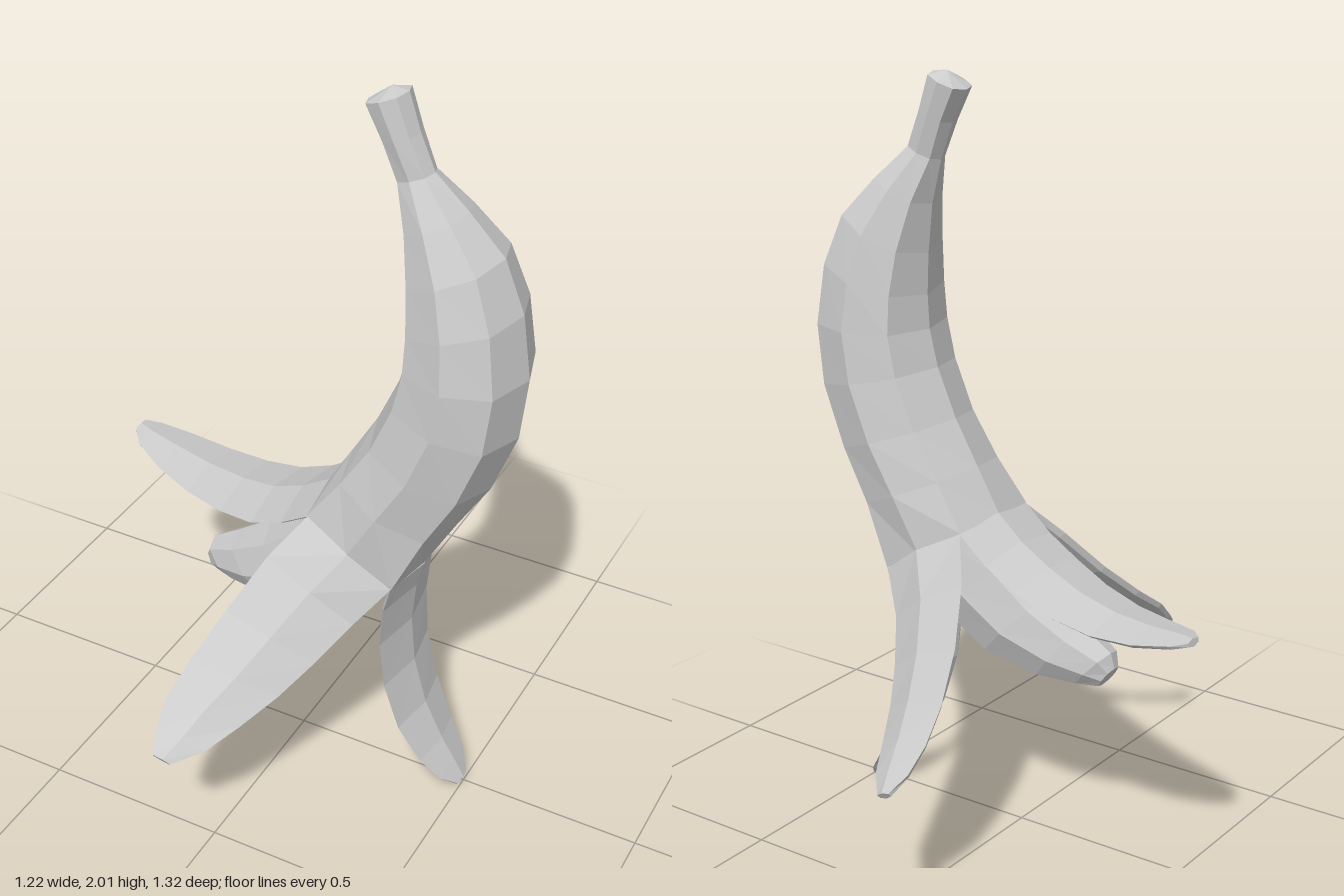
import * as THREE from 'three';

const V = (x, y, z) => new THREE.Vector3(x, y, z);
const material = new THREE.MeshStandardMaterial({ color: 0xcccccc, flatShading: true });

// Skins closed rows of points, caps both ends, and faces the surface outwards.
// startTip / endTip optionally raise the cap centre into a point.
function loft(name, rows, startTip, endTip) {
  const n = rows[0].length, last = rows.length - 1;
  const centre = row => row.reduce((s, p) => s.add(p), V(0, 0, 0)).divideScalar(n);
  const points = [...rows.flat(), startTip || centre(rows[0]), endTip || centre(rows[last])];
  const a0 = rows.length * n, a1 = a0 + 1, index = [];
  for (let j = 0; j < n; j++) {
    const k = (j + 1) % n;
    for (let i = 0; i < last; i++) {
      const a = i * n + j, b = i * n + k;
      index.push(a, b, a + n, b, b + n, a + n);
    }
    index.push(a0, k, j, a1, last * n + j, last * n + k);
  }
  let volume = 0;
  for (let i = 0; i < index.length; i += 3) {
    const [a, b, c] = [0, 1, 2].map(k => points[index[i + k]]);
    volume += a.dot(b.clone().cross(c));
  }
  if (volume < 0) index.reverse();
  const geometry = new THREE.BufferGeometry().setFromPoints(points);
  geometry.setIndex(index);
  const flat = geometry.toNonIndexed();
  flat.computeVertexNormals();
  const mesh = new THREE.Mesh(flat, material);
  mesh.name = name;
  return mesh;
}

// Eight-sided ring between an inner and an outer point of the bend;
// w is the half width in z and k the squareness of the diagonal corners.
function ring([ix, iy, ox, oy, w, k = 0.75]) {
  const cx = (ix + ox) / 2, cy = (iy + oy) / 2, hx = (ox - ix) / 2, hy = (oy - iy) / 2;
  return [[1, 0], [k, k], [0, 1], [-k, k], [-1, 0], [-k, -k], [0, -1], [k, -k]]
    .map(([u, v]) => V(cx + hx * u, cy + hy * u, w * v));
}

// Thin strip of peel between two edges, ridged along its outer middle.
function flap(name, left, right) {
  const L = left.map(p => V(...p)), R = right.map(p => V(...p));
  const mid = L.map((p, i) => p.clone().lerp(R[i], 0.5));
  const end = mid.length - 1;
  const rows = mid.map((m, i) => {
    const across = R[i].clone().sub(L[i]);
    const along = mid[Math.min(i + 1, end)].clone().sub(mid[Math.max(i - 1, 0)]);
    const out = along.cross(across).normalize();
    const bulge = Math.min(0.025, across.length() * 0.1);
    const shift = (p, d) => p.clone().addScaledVector(out, d);
    return [L[i], shift(m, bulge), R[i],
      shift(R[i].clone().lerp(m, 0.12), -0.01), shift(m, bulge - 0.02), shift(L[i].clone().lerp(m, 0.12), -0.01)];
  });
  return loft(name, rows);
}

export function createModel() {
  const group = new THREE.Group();

  // Unpeeled upper skin with its stem
  const skin = [
    [0.165, 1.955, 0.268, 1.995, 0.054],
    [0.21, 1.87, 0.30, 1.90, 0.05],
    [0.247, 1.775, 0.34, 1.81, 0.043],
    [0.277, 1.66, 0.43, 1.73, 0.09],
    [0.292, 1.53, 0.525, 1.635, 0.132],
    [0.297, 1.42, 0.58, 1.50, 0.157],
    [0.292, 1.33, 0.605, 1.33, 0.17],
    [0.267, 1.23, 0.588, 1.16, 0.172],
    [0.21, 1.10, 0.525, 0.99, 0.172],
    [0.14, 0.98, 0.44, 0.85, 0.172, 0.78],
    [0.07, 0.86, 0.35, 0.69, 0.17, 0.87],
  ];
  group.add(loft('skinAndStem', skin.map(ring), V(0.225, 2.0, 0)));

  // Fruit showing below the skin
  const fruit = [
    [0.13, 0.90, 0.37, 0.78, 0.13],
    [0.0, 0.76, 0.22, 0.58, 0.125],
    [-0.1, 0.675, 0.08, 0.49, 0.115],
    [-0.2, 0.605, -0.08, 0.455, 0.092],
    [-0.28, 0.555, -0.19, 0.455, 0.062],
    [-0.292, 0.515, -0.255, 0.46, 0.035],
  ];
  group.add(loft('fruit', fruit.map(ring)));

  // Peel hanging down on the outside of the bend: x, y, half width
  const hang = [
    [0.33, 0.70, 0.15], [0.31, 0.62, 0.147], [0.30, 0.50, 0.142], [0.313, 0.36, 0.134],
    [0.353, 0.22, 0.122], [0.412, 0.11, 0.102], [0.46, 0.045, 0.075], [0.495, 0.004, 0.03],
  ];
  group.add(flap('outerPeel', hang.map(([x, y, w]) => [x, y, w]), hang.map(([x, y, w]) => [x, y, -w])));

  // Peel reaching out on the inside of the bend: x, y, centre z, half width
  const reach = [
    [0.09, 0.847, 0, 0.15], [0.0, 0.785, -0.015, 0.148], [-0.1, 0.738, -0.03, 0.144],
    [-0.22, 0.707, -0.062, 0.133], [-0.35, 0.695, -0.095, 0.117], [-0.47, 0.702, -0.122, 0.095],
    [-0.57, 0.718, -0.142, 0.06], [-0.61, 0.728, -0.156, 0.025],
  ];
  group.add(flap('innerPeel', reach.map(([x, y, z, w]) => [x, y, z - w]), reach.map(([x, y, z, w]) => [x, y, z + w])));

  // Matching peels on the two sides, given by their edges
  const upper = [
    [0.09, 0.847, 0.148], [0.02, 0.75, 0.235], [-0.04, 0.63, 0.345], [-0.083, 0.53, 0.46],
    [-0.103, 0.465, 0.55], [-0.095, 0.41, 0.61], [-0.075, 0.375, 0.66],
  ];
  const lower = [
    [0.33, 0.70, 0.148], [0.255, 0.60, 0.21], [0.19, 0.51, 0.30], [0.135, 0.445, 0.39],
    [0.08, 0.40, 0.49], [0.03, 0.368, 0.58], [-0.03, 0.353, 0.65],
  ];
  const mirror = edge => edge.map(([x, y, z]) => [x, y, -z]);
  group.add(flap('frontPeel', upper, lower));
  group.add(flap('backPeel', mirror(lower), mirror(upper)));

  return group;
}
